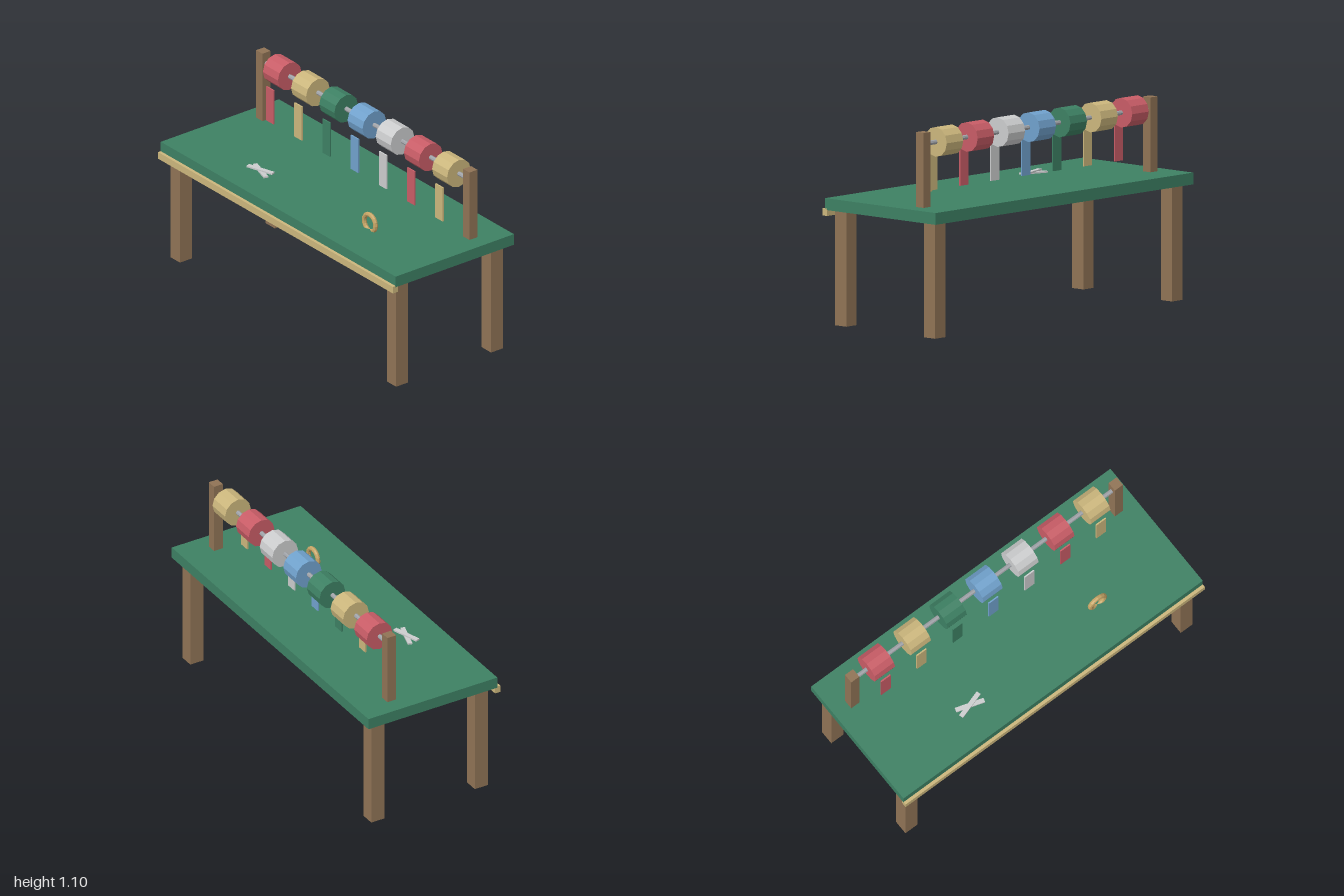
import * as THREE from 'three';

const mat = (name, color) => {
  const m = new THREE.MeshStandardMaterial({ color });
  m.name = name;
  return m;
};

export function createModel() {
  const wood = mat('brown wood', 0x8f7355);
  const green = mat('green', 0x3d8063);
  const tan = mat('pale tan', 0xcbb67c);
  const red = mat('red', 0xc85c66);
  const blue = mat('blue', 0x70a1cc);
  const silver = mat('light grey', 0xcbcccd);
  const steel = mat('steel', 0xa0a3a8);
  const brass = mat('brass', 0xc6a566);

  const model = new THREE.Group();
  model.name = 'ribbonTable';

  const add = (name, geometry, material, x, y, z) => {
    const mesh = new THREE.Mesh(geometry, material);
    mesh.name = name;
    mesh.position.set(x, y, z);
    model.add(mesh);
    return mesh;
  };
  const box = (name, material, w, h, d, x, y, z) =>
    add(name, new THREE.BoxGeometry(w, h, d), material, x, y, z);
  // Faceted cylinder lying along x
  const roller = (name, material, r, length, sides, x, y, z) => {
    const g = new THREE.CylinderGeometry(r, r, length, sides).rotateZ(Math.PI / 2).toNonIndexed();
    g.computeVertexNormals();
    return add(name, g, material, x, y, z);
  };

  // Table top with a front rail
  box('tableTop', green, 2, 0.063, 0.797, 0, 0.6485, -0.0085);
  box('frontRail', tan, 2, 0.039, 0.032, 0, 0.605, 0.392);

  // Legs and rack posts
  for (const side of [-1, 1]) {
    box('frontLeg', wood, 0.08, 0.617, 0.08, side * 0.92, 0.3085, 0.315);
    box('backLeg', wood, 0.08, 0.617, 0.08, side * 0.92, 0.3085, -0.325);
    box('rackPost', wood, 0.054, 0.4, 0.054, side * 0.881, 0.88, -0.207);
  }

  // Rod carrying spools, each with a hanging ribbon
  const rodY = 1.017, rodZ = -0.207;
  roller('rackRod', steel, 0.0125, 1.74, 8, 0, rodY, rodZ);
  [red, tan, green, blue, silver, red, tan].forEach((colour, i) => {
    const x = (i - 3) * 0.24;
    roller('spool', colour, 0.0797, 0.128, 12, x, rodY, rodZ);
    box('ribbon', colour, 0.064, 0.2, 0.008, x, 0.845, -0.127);
  });

  // Crossed scissor blades lying on the table
  box('lowerBlade', silver, 0.162, 0.009, 0.025, -0.402, 0.6845, 0.191).rotation.y = -0.3;
  box('upperBlade', silver, 0.162, 0.009, 0.025, -0.402, 0.692, 0.191).rotation.y = 0.3;

  // Ring standing on edge, sunk slightly into the table
  const ring = new THREE.TorusGeometry(0.0485, 0.013, 8, 16).toNonIndexed();
  ring.computeVertexNormals();
  add('ring', ring, brass, 0.48, 0.716, 0.152);

  return model;
}
